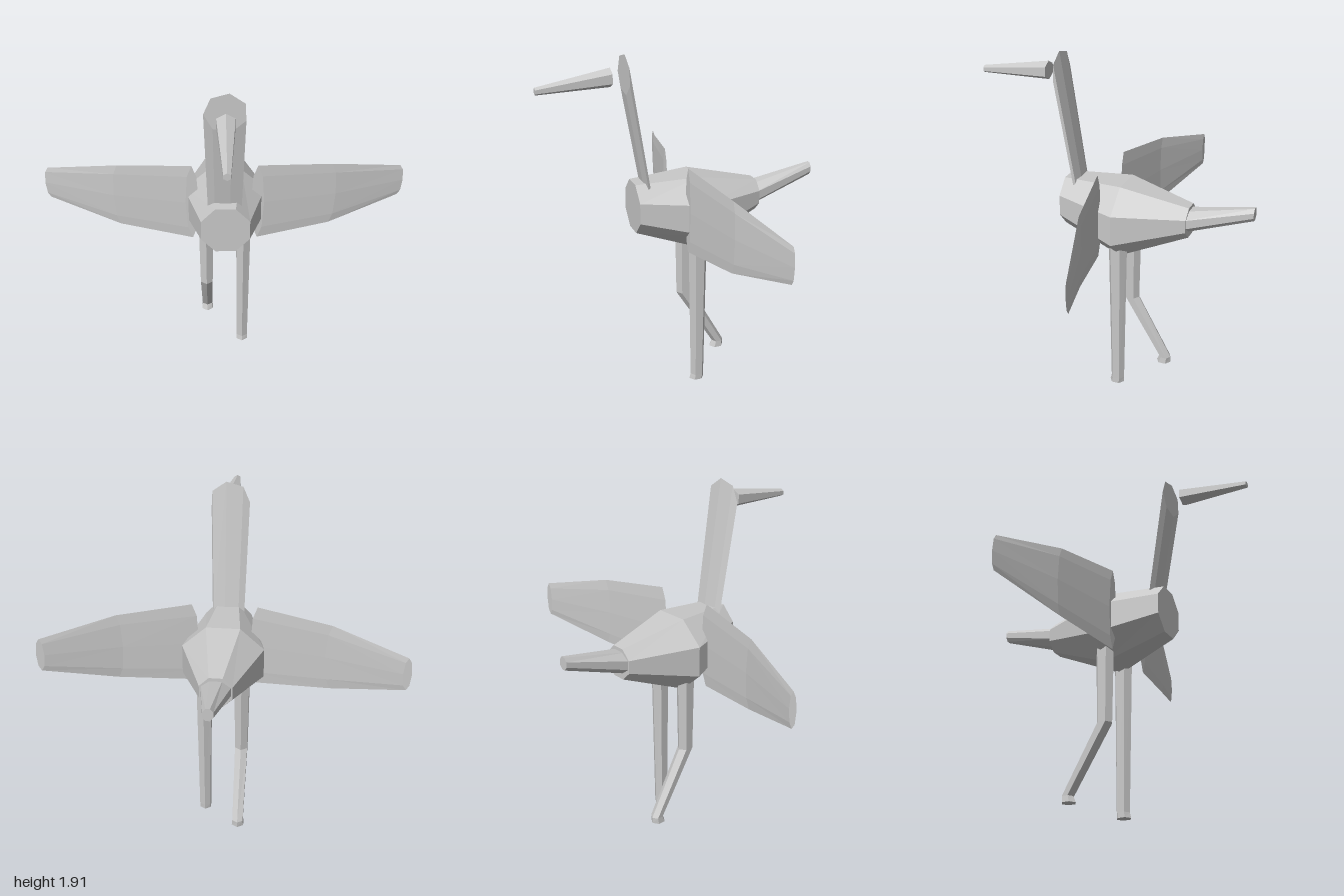
import * as THREE from 'three';

const plumage = new THREE.MeshStandardMaterial({ color: 0xc8c8c8, flatShading: true });

// Faceted loft. Each ring is [x, y, z, radiusU, radiusV]; the ring lies in the xy or xz plane.
function loft(name, plane, sides, startAngle, rings) {
  const points = rings.map(([x, y, z, ru, rv = ru]) => {
    const ring = [];
    for (let i = 0; i < sides; i++) {
      const a = startAngle + (i / sides) * Math.PI * 2;
      const u = Math.cos(a) * ru, v = Math.sin(a) * rv;
      ring.push(plane === 'xy'
        ? new THREE.Vector3(x + u, y + v, z)
        : new THREE.Vector3(x + u, y, z + v));
    }
    return ring;
  });
  const tris = [];
  for (let r = 0; r < points.length - 1; r++) {
    for (let i = 0; i < sides; i++) {
      const j = (i + 1) % sides;
      const a = points[r][i], b = points[r][j], c = points[r + 1][j], d = points[r + 1][i];
      tris.push([a, b, c], [a, c, d]);
    }
  }
  // End caps
  const first = points[0], last = points[points.length - 1];
  for (let i = 1; i < sides - 1; i++) {
    tris.push([first[0], first[i + 1], first[i]], [last[0], last[i], last[i + 1]]);
  }
  // Turn the faces outward
  const cross = new THREE.Vector3();
  const volume = tris.reduce((s, [a, b, c]) => s + a.dot(cross.crossVectors(b, c)), 0);
  const ordered = volume < 0 ? tris.map(([a, b, c]) => [a, c, b]) : tris;
  const geometry = new THREE.BufferGeometry().setFromPoints(ordered.flat());
  geometry.computeVertexNormals();
  const mesh = new THREE.Mesh(geometry, plumage);
  mesh.name = name;
  return mesh;
}

export function createModel() {
  const model = new THREE.Group();
  model.name = 'wadingBird';
  const flatTop = Math.PI / 8;
  const k = 1 / Math.cos(flatTop); // flat-to-flat size to corner radius

  // Octagonal body, front to back
  model.add(loft('body', 'xy', 8, flatTop, [
    [0, 1.077, 0.28, 0.128 * k, 0.137 * k],
    [0, 1.025, -0.06, 0.222 * k, 0.204 * k],
    [0, 1.063, -0.43, 0.086 * k, 0.086 * k],
  ]));

  // Tail
  model.add(loft('tail', 'xy', 8, flatTop, [
    [0, 1.06, -0.39, 0.083 * k, 0.062 * k],
    [0, 1.165, -0.775, 0.027 * k, 0.035 * k],
  ]));

  // Slanted flat neck
  model.add(loft('neck', 'xy', 7, 0.5, [
    [0, 1.126, 0.2, 0.09],
    [0, 1.8, 0.312, 0.107],
  ]));

  // Beak, set ahead of the neck
  model.add(loft('beak', 'xy', 6, Math.PI / 2, [
    [0, 1.79, 0.385, 0.053, 0.05],
    [0, 1.752, 0.775, 0.02, 0.02],
  ]));

  // Thin swept wings
  for (const [name, s] of [['leftWing', 1], ['rightWing', -1]]) {
    model.add(loft(name, 'xy', 8, 0, [
      [s * 0.177, 1.078, 0.03, s * 0.036, 0.238],
      [s * 0.58, 1.075, -0.05, s * 0.03, 0.195],
      [s * 0.977, 1.075, -0.178, s * 0.023, 0.098],
    ]));
  }

  // Straight standing leg with a small foot
  model.add(loft('leftLeg', 'xz', 6, Math.PI / 2, [
    [0.105, 0.92, -0.055, 0.047, 0.054],
    [0.105, 0.03, -0.056, 0.036, 0.039],
    [0.105, 0, -0.052, 0.036, 0.042],
  ]));

  // Lifted leg, bent backward at the knee
  model.add(loft('rightLeg', 'xz', 6, Math.PI / 2, [
    [-0.105, 0.92, -0.055, 0.047, 0.054],
    [-0.105, 0.46, -0.055, 0.04, 0.046],
    [-0.105, 0.095, -0.27, 0.034, 0.034],
    [-0.105, 0.06, -0.262, 0.038, 0.042],
  ]));

  return model;
}
